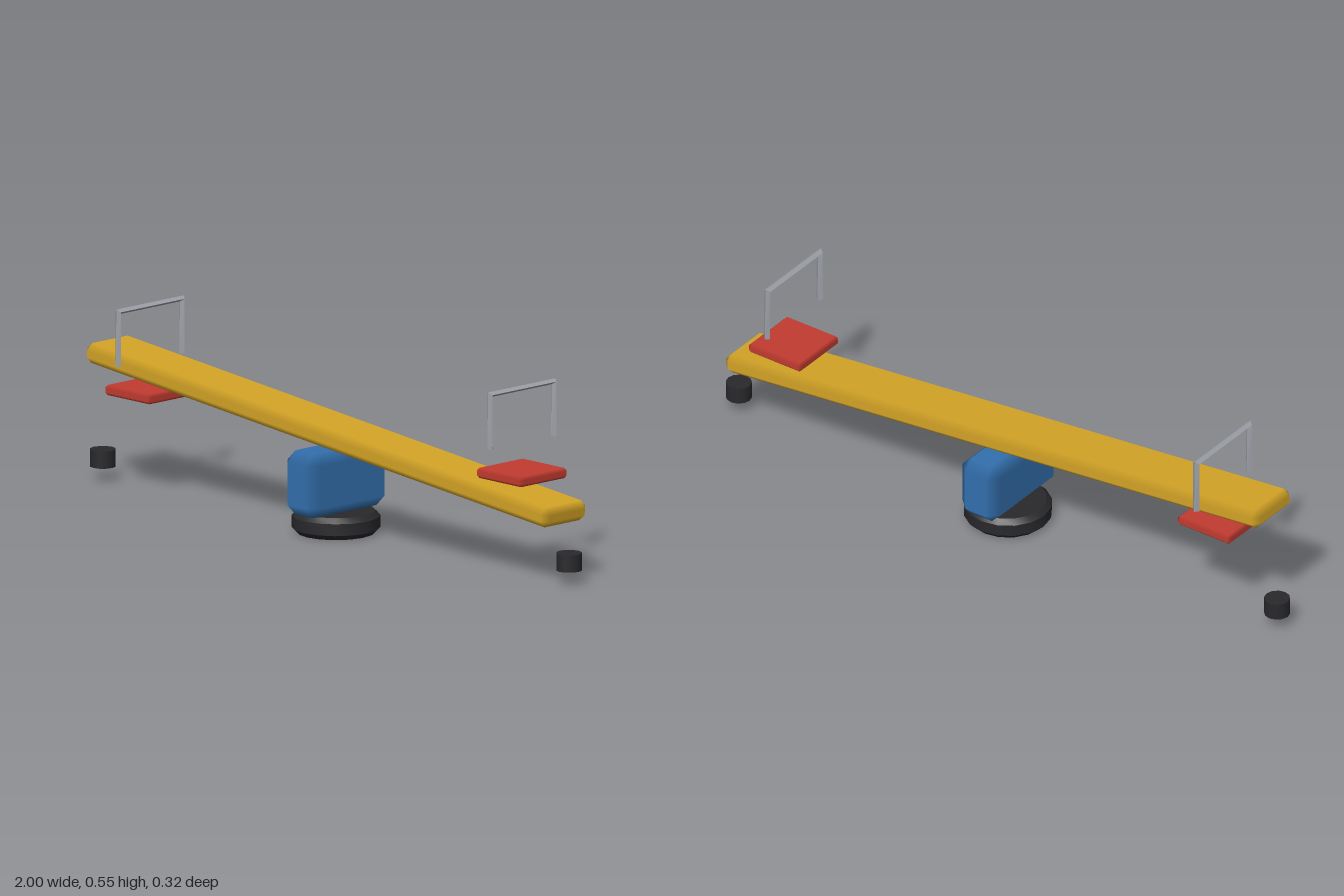
import * as THREE from 'three';
import { ConvexGeometry } from 'three/addons/geometries/ConvexGeometry.js';
import { toCreasedNormals } from 'three/addons/utils/BufferGeometryUtils.js';

const paint = (color) => new THREE.MeshStandardMaterial({ color });

// Box with one chamfer on every edge; normals blend across the chamfers
function chamferBox(w, h, d, c) {
  const half = [w / 2, h / 2, d / 2];
  const points = [];
  for (let axis = 0; axis < 3; axis++)
    for (const sx of [-1, 1]) for (const sy of [-1, 1]) for (const sz of [-1, 1]) {
      const p = [sx, sy, sz].map((s, i) => s * (i === axis ? half[i] : half[i] - c));
      points.push(new THREE.Vector3(...p));
    }
  const geo = new ConvexGeometry(points);
  const pos = geo.attributes.position;
  for (let i = 0; i < pos.count; i++) {
    const n = [0, 1, 2].map((k) => {
      const t = pos.getComponent(i, k) / half[k];
      return Math.abs(t) > 0.9999 ? Math.sign(t) : 0;
    });
    geo.attributes.normal.setXYZ(i, ...n);
  }
  return geo;
}

// Four-sided bent rod in the YZ plane, open at both ends
function handleGeometry(z, bottom, top, r) {
  const k = Math.SQRT1_2;
  // each ring: y, z and the in-plane direction across the rod
  const rings = [
    [bottom, z, 0, 1], [top, z, k, k], [top, -z, k, -k], [bottom, -z, 0, -1],
  ];
  const verts = [], index = [];
  rings.forEach(([y, pz, by, bz], i) => {
    for (let j = 0; j < 4; j++) {
      const a = (j * Math.PI) / 2;
      verts.push(r * Math.cos(a), y + r * Math.sin(a) * by, pz + r * Math.sin(a) * bz);
      if (i < 3) {
        const n = (j + 1) % 4, p = i * 4;
        index.push(p + j, p + n, p + 4 + j, p + n, p + 4 + n, p + 4 + j);
      }
    }
  });
  const geo = new THREE.BufferGeometry();
  geo.setAttribute('position', new THREE.Float32BufferAttribute(verts, 3));
  geo.setIndex(index);
  const flat = geo.toNonIndexed();
  flat.computeVertexNormals();
  return flat;
}

export function createModel() {
  const group = new THREE.Group();
  const yellow = paint(0xd4a426), blue = paint(0x3370ae), red = paint(0xc23b30), black = paint(0x29292c);
  const steel = paint(0x9c9fa6);
  steel.side = THREE.DoubleSide;

  const add = (name, geo, mat, x, y, z = 0) => {
    const mesh = new THREE.Mesh(geo, mat);
    mesh.name = name;
    mesh.position.set(x, y, z);
    group.add(mesh);
    return mesh;
  };

  // Round foot with chamfered rims
  const profile = [[0, 0], [0.113, 0], [0.128, 0.015], [0.128, 0.05], [0.113, 0.065], [0, 0.065]]
    .map(([x, y]) => new THREE.Vector2(x, y));
  add('base', toCreasedNormals(new THREE.LatheGeometry(profile, 16), 0.5), black, 0, 0);

  // Pivot block and tilted plank
  add('pivot', chamferBox(0.136, 0.19, 0.32, 0.032), blue, 0, 0.16);
  add('plank', chamferBox(1.92, 0.06, 0.18, 0.02), yellow, 0, 0.296).rotation.z = -0.1;

  // Seat, handle and ground stopper at each end
  for (const [s, side] of [[1, 'left'], [-1, 'right']]) {
    add(side + 'Seat', chamferBox(0.19, 0.03, 0.192, 0.009), red, s * 0.767, 0.296);
    add(side + 'Handle', handleGeometry(0.128, 0.385, 0.547, 0.011), steel, s * 0.767, 0);
    add(side + 'Stopper', new THREE.CylinderGeometry(0.038, 0.038, 0.051, 12), black, s * 0.962, 0.066);
  }
  return group;
}
